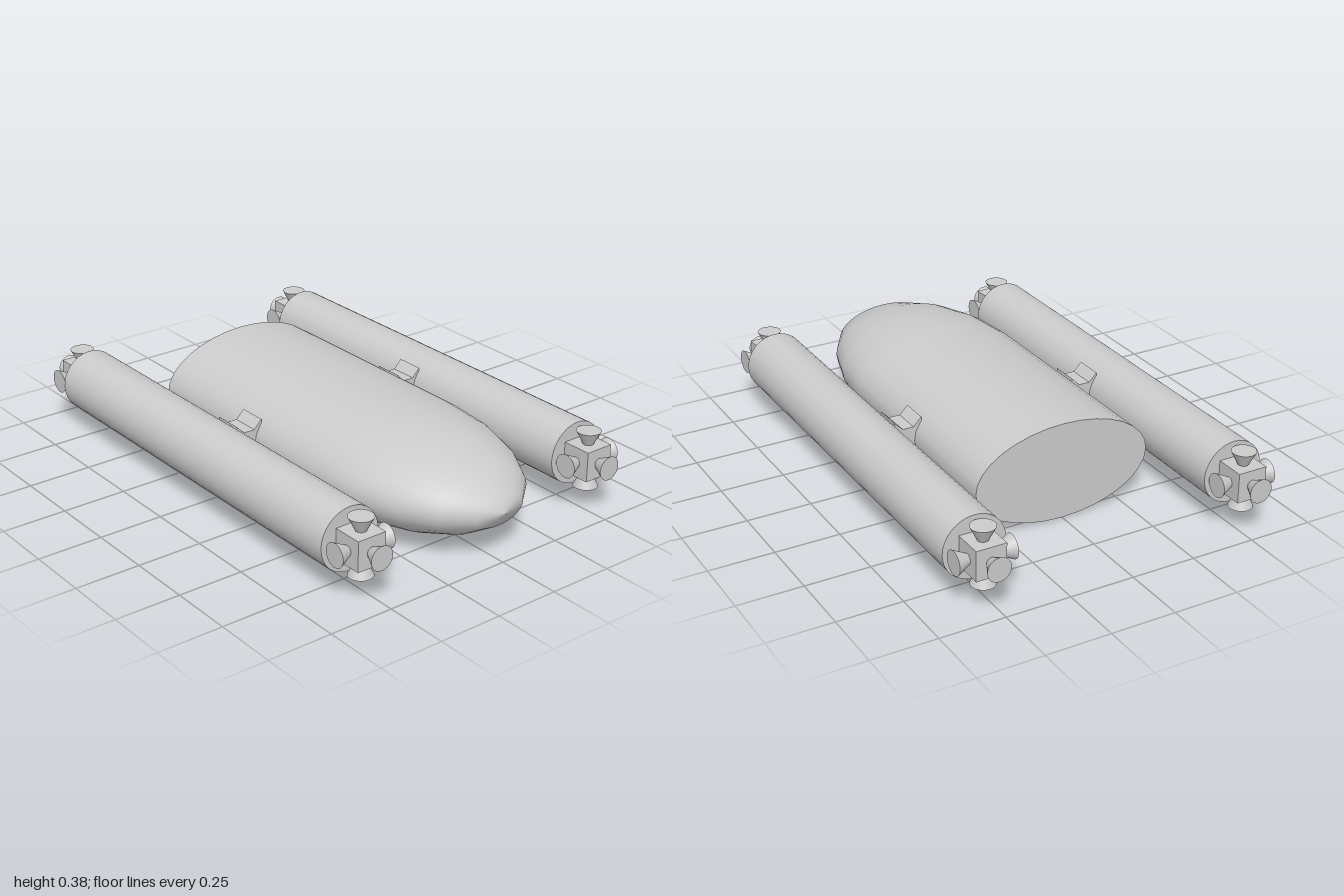
import * as THREE from 'three';

const MID_Y = 0.19;
const material = new THREE.MeshStandardMaterial({ color: 0xcccccc });

function addMesh(parent, name, geometry, x = 0, y = 0, z = 0) {
  const mesh = new THREE.Mesh(geometry, material);
  mesh.name = name;
  mesh.position.set(x, y, z);
  parent.add(mesh);
  return mesh;
}

// Elliptical body: straight section, rounded nose, flat rear
function createHull() {
  const hull = new THREE.Group();
  hull.name = 'hull';
  const rx = 0.355, ry = 0.19, rear = -0.535, shoulder = 0.4, noseLength = 0.6;
  const profile = [new THREE.Vector2(1, rear)];
  const steps = 5;
  for (let i = 0; i <= steps; i++) {
    const a = (i / steps) * Math.PI / 2;
    profile.push(new THREE.Vector2(i === steps ? 0 : Math.cos(a), shoulder + noseLength * Math.sin(a)));
  }
  const shell = new THREE.LatheGeometry(profile, 32).rotateX(Math.PI / 2).scale(rx, ry, 1);
  addMesh(hull, 'hullShell', shell);
  const cap = new THREE.CircleGeometry(1, 32).rotateY(Math.PI).scale(rx, ry, 1);
  addMesh(hull, 'hullRear', cap, 0, 0, rear);
  hull.position.y = MID_Y;
  return hull;
}

// Cube with flared nozzles on every side except the one against the booster
function createThrusterBlock(outward) {
  const block = new THREE.Group();
  block.name = 'thrusterBlock';
  const size = 0.116, length = 0.052;
  addMesh(block, 'thrusterCube', new THREE.BoxGeometry(size, size, size));
  const up = new THREE.Vector3(0, 1, 0);
  for (const d of [[1, 0, 0], [-1, 0, 0], [0, 1, 0], [0, -1, 0], [0, 0, outward]]) {
    const dir = new THREE.Vector3(...d);
    const nozzle = addMesh(block, 'nozzle', new THREE.CylinderGeometry(0.046, 0.02, length, 32));
    nozzle.quaternion.setFromUnitVectors(up, dir);
    nozzle.position.copy(dir).multiplyScalar((size + length) / 2);
  }
  return block;
}

// Side tube with a thruster block at each end
function createBooster(side) {
  const booster = new THREE.Group();
  booster.name = side > 0 ? 'leftBooster' : 'rightBooster';
  const front = 0.812, rear = -0.832;
  const tube = new THREE.CylinderGeometry(0.121, 0.121, front - rear, 32).rotateX(Math.PI / 2);
  addMesh(booster, 'boosterTube', tube, 0, 0, (front + rear) / 2);
  for (const [end, z] of [[1, front + 0.058], [-1, rear - 0.058]]) {
    const block = createThrusterBlock(end);
    block.position.z = z;
    booster.add(block);
  }
  booster.position.set(side * 0.525, MID_Y, 0);
  return booster;
}

// Short bracket, flared where it meets hull and booster
function createStrut(side) {
  const outline = [[0.325, 0.09], [0.358, 0.057], [0.402, 0.057], [0.435, 0.09]];
  const points = [...outline, ...outline.slice().reverse().map(([x, y]) => [x, -y])]
    .map(([x, y]) => new THREE.Vector2(x * side, y));
  const depth = 0.112;
  const geometry = new THREE.ExtrudeGeometry(new THREE.Shape(points), { depth, bevelEnabled: false });
  const strut = new THREE.Mesh(geometry, material);
  strut.name = side > 0 ? 'leftStrut' : 'rightStrut';
  strut.position.set(0, MID_Y + 0.002, -0.07);
  return strut;
}

export function createModel() {
  const model = new THREE.Group();
  model.name = 'spacecraft';
  model.add(createHull());
  for (const side of [1, -1]) model.add(createBooster(side), createStrut(side));
  return model;
}
